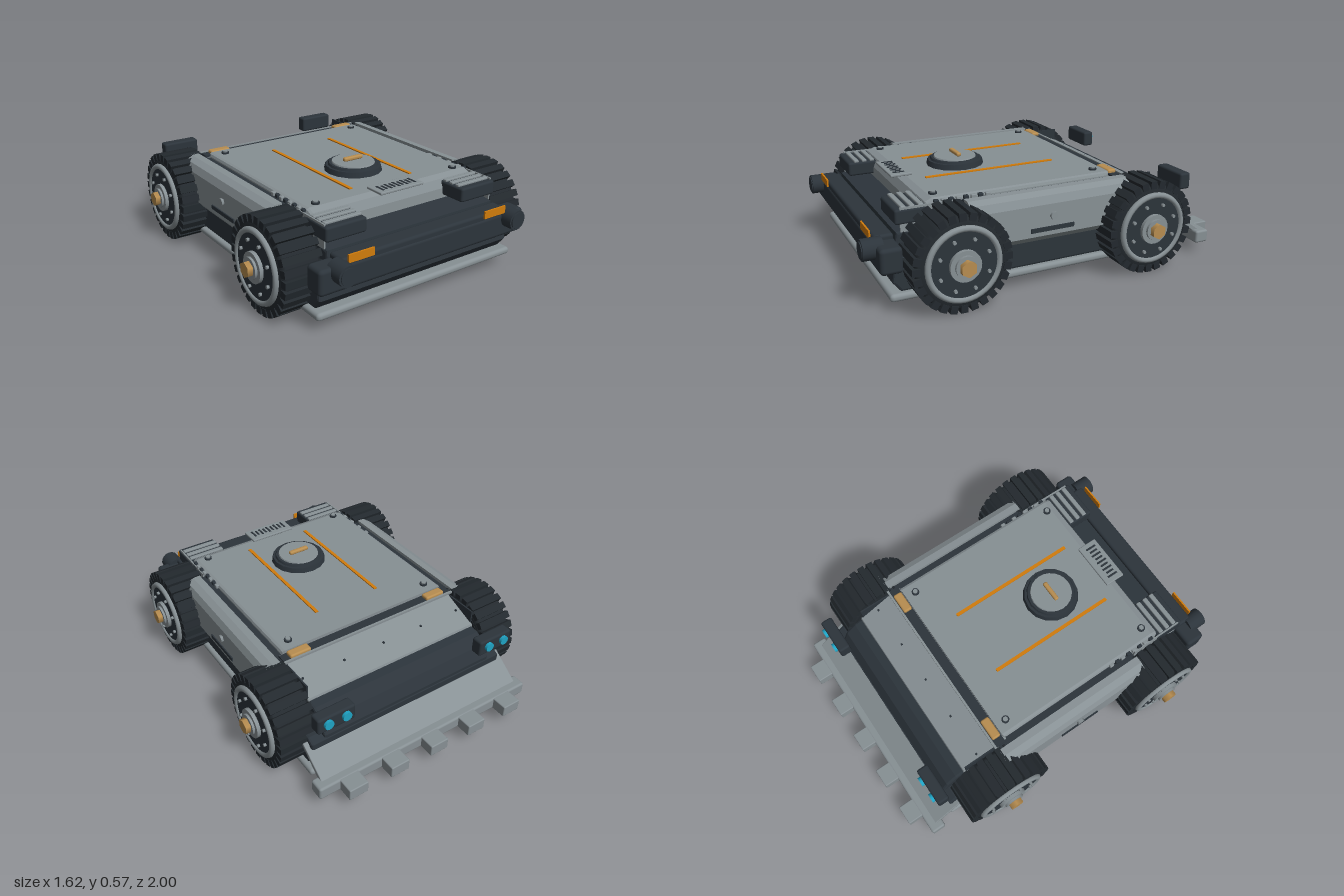
import * as THREE from 'three';
import { RoundedBoxGeometry } from 'three/addons/geometries/RoundedBoxGeometry.js';

const paint = (name, color) => Object.assign(new THREE.MeshStandardMaterial({ color }), { name });

export function createModel() {
  const grey = paint('grey armour', 0x879094);
  const dark = paint('dark armour', 0x2c343b);
  const rubber = paint('tyre rubber', 0x23292e);
  const gold = paint('brass', 0xb78d50);
  const orange = paint('orange marking', 0xd17c0c);
  const cyan = paint('cyan lamp', 0x1fa3c4);
  const root = new THREE.Group();
  root.name = 'rover';

  const add = (name, geo, mat, x = 0, y = 0, z = 0, parent = root) => {
    const m = new THREE.Mesh(geo, mat);
    m.name = name;
    m.position.set(x, y, z);
    parent.add(m);
    return m;
  };
  const box = (name, mat, w, h, d, x, y, z, r = 0, parent = root) =>
    add(name, r ? new RoundedBoxGeometry(w, h, d, 2, r) : new THREE.BoxGeometry(w, h, d), mat, x, y, z, parent);
  const outline = pts => new THREE.Shape(pts.map(p => new THREE.Vector2(...p)));
  // Side profile of [z, y] points, swept across the width
  const across = (pts, width, bevel = 0.012) => new THREE.ExtrudeGeometry(outline(pts), {
    depth: width - 2 * bevel, bevelEnabled: bevel > 0, bevelSize: bevel, bevelOffset: -bevel,
    bevelThickness: bevel, bevelSegments: 2,
  }).translate(0, 0, -width / 2 + bevel).rotateY(-Math.PI / 2);
  // Front profile of [x, y] points, swept along the length from z0 to z1
  const along = (pts, z0, z1) => new THREE.ExtrudeGeometry(outline(pts),
    { depth: z1 - z0, bevelEnabled: false }).translate(0, 0, z0);
  // Disc facing +x
  const disc = (r, d, n) => new THREE.CylinderGeometry(r, r, d, n).rotateZ(-Math.PI / 2);

  // Hull
  box('basePlate', grey, 1.24, 0.04, 1.67, 0, 0.08, 0.055, 0.018);
  add('lowerHull', across([[0.86, 0.21], [0.87, 0.15], [0.83, 0.1], [-0.72, 0.1], [-0.76, 0.14],
    [-0.76, 0.25], [-0.72, 0.27], [0.83, 0.27]], 1.2), dark);
  add('upperHull', across([[0.84, 0.22], [0.82, 0.365], [0.68, 0.39], [-0.6, 0.385], [-0.66, 0.375],
    [-0.72, 0.335], [-0.755, 0.27], [-0.755, 0.22]], 1.05), dark);
  add('deckBody', across([[0.69, 0.36], [0.685, 0.44], [0.665, 0.485], [0.63, 0.5], [-0.35, 0.5],
    [-0.35, 0.36]], 1.02, 0.018), grey);
  add('rearSlope', across([[-0.34, 0.36], [-0.34, 0.475], [-0.4, 0.475], [-0.61, 0.395], [-0.62, 0.36]], 1.05, 0.006), grey);
  box('hingeGap', dark, 1.06, 0.01, 0.055, 0, 0.48, -0.38);
  box('hingeRail', grey, 1.28, 0.012, 0.012, 0, 0.484, -0.414);
  for (const x of [-0.49, -0.245, 0, 0.245, 0.49])
    box('slopeRivet', dark, 0.01, 0.008, 0.01, x, 0.436, -0.51);

  // Mirrored body details
  for (const s of [-1, 1]) {
    add('sidePanel', along([[0.545, 0.24], [0.62, 0.24], [0.645, 0.27], [0.642, 0.43], [0.625, 0.47],
      [0.59, 0.488], [0.55, 0.49]].map(([x, y]) => [s * x, y]), -0.4, 0.49), grey);
    box('sideGap', dark, 0.04, 0.18, 0.88, s * 0.528, 0.385, 0.045);
    box('sideSlot', dark, 0.012, 0.022, 0.24, s * 0.645, 0.305, 0.06);
    add('sideBolt', disc(0.021, 0.016, 6), grey, s * 0.648, 0.37, 0.055);
    box('fenderPlate', grey, 0.008, 0.12, 0.3, s * 0.522, 0.425, 0.65);
    box('rearFenderPlate', dark, 0.008, 0.08, 0.2, s * 0.522, 0.43, -0.5);
    box('deckStripe', orange, 0.018, 0.006, 0.73, s * 0.192, 0.503, 0.187);
    box('hinge', gold, 0.12, 0.035, 0.05, s * 0.43, 0.485, -0.38, 0.01);
    for (const z of [-0.29, 0.605]) {
      add('deckBoltWasher', new THREE.CylinderGeometry(0.021, 0.021, 0.012, 12), dark, s * 0.438, 0.503, z);
      add('deckBolt', new THREE.CylinderGeometry(0.014, 0.014, 0.018, 6), grey, s * 0.438, 0.507, z);
    }
    for (let i = 0; i < 8; i++)
      box('sideLatch', i % 2 ? dark : grey, 0.03, 0.022, 0.026, s * 0.507, 0.484, 0.35 + i * 0.038, 0.005);

    // Front pods, lamps and indicators
    box('frontPod', dark, 0.23, 0.075, 0.17, s * 0.415, 0.44, 0.74, 0.012);
    for (let i = 0; i < 3; i++)
      box('podLouvre', grey, 0.21, 0.014, 0.026, s * 0.41, 0.481, 0.69 + i * 0.044, 0.005);
    box('indicator', orange, 0.145, 0.04, 0.009, s * 0.42, 0.365, 0.938);
    add('frontLamp', new THREE.CylinderGeometry(0.053, 0.053, 0.1, 16).rotateX(Math.PI / 2), dark, s * 0.53, 0.313, 0.945);
    add('lampFace', new THREE.CylinderGeometry(0.043, 0.043, 0.006, 16).rotateX(Math.PI / 2), dark, s * 0.53, 0.313, 0.997);

    // Rear lamp pods
    box('rearLampPod', dark, 0.21, 0.09, 0.065, s * 0.495, 0.412, -0.782, 0.012);
    for (const x of [0.445, 0.545])
      add('rearLamp', new THREE.CylinderGeometry(0.025, 0.025, 0.02, 12).rotateX(Math.PI / 2), cyan, s * x, 0.417, -0.82);
  }

  // Front bumper
  box('frontBumper', dark, 1.28, 0.13, 0.11, 0, 0.275, 0.88, 0.02);
  box('bumperCap', dark, 1.04, 0.06, 0.1, 0, 0.335, 0.88, 0.015);

  // Deck hatch
  add('hatchRing', new THREE.CylinderGeometry(0.148, 0.155, 0.03, 16), dark, 0, 0.513, 0.315);
  add('hatchRim', new THREE.CylinderGeometry(0.13, 0.135, 0.012, 16), dark, 0, 0.533, 0.315);
  add('hatchLid', new THREE.CylinderGeometry(0.112, 0.118, 0.014, 24), grey, 0, 0.539, 0.315);
  box('hatchHandle', gold, 0.12, 0.022, 0.026, 0, 0.558, 0.312, 0.009);

  // Slotted vent plate
  box('ventPlate', grey, 0.27, 0.014, 0.115, 0, 0.513, 0.66, 0.005);
  for (let i = 0; i < 9; i++)
    box('ventSlot', dark, 0.011, 0.005, i % 2 ? 0.046 : 0.06, (i - 4) * 0.025, 0.52, 0.665);

  // Rear plough
  add('ploughBlade', across([[-0.7, 0.235], [-0.72, 0.245], [-0.885, 0.125], [-0.87, 0.1]], 1.25, 0.004), grey);
  box('ploughBar', grey, 1.32, 0.07, 0.08, 0, 0.095, -0.88, 0.012);
  for (let i = -2; i <= 2; i++)
    box('ploughTooth', grey, 0.108, 0.065, 0.1, i * 0.246, 0.095, -0.95, 0.006);

  // Wheels, built facing +x
  const tyreProfile = [[0.19, -0.1], [0.218, -0.105], [0.232, -0.085], [0.232, 0.085], [0.218, 0.1], [0.185, 0.103]];
  const tyreGeo = new THREE.LatheGeometry(tyreProfile.map(p => new THREE.Vector2(...p)), 40).rotateZ(-Math.PI / 2);
  const lugGeo = new THREE.BoxGeometry(0.208, 0.04, 0.036).translate(0, 0.228, 0);
  const rivetGeo = disc(0.009, 0.014, 6);
  const hubGeo = disc(0.175, 0.18, 32);
  for (const s of [-1, 1]) for (const z of [0.575, -0.467]) {
    const wheel = new THREE.Group();
    wheel.name = 'wheel';
    wheel.position.set(s * 0.64, 0.249, z);
    if (s < 0) wheel.rotation.y = Math.PI;
    root.add(wheel);
    add('tyre', tyreGeo, rubber, 0, 0, 0, wheel);
    for (let i = 0; i < 28; i++)
      add('treadLug', lugGeo, rubber, 0, 0, 0, wheel).rotation.x = i * Math.PI / 14;
    add('innerHub', hubGeo, dark, 0, 0, 0, wheel);
    add('backPlate', disc(0.195, 0.2, 32), rubber, -0.003, 0, 0, wheel);
    add('rimRing', new THREE.TorusGeometry(0.176, 0.016, 8, 40).rotateY(Math.PI / 2), grey, 0.108, 0, 0, wheel);
    add('wheelDisc', disc(0.166, 0.02, 32), dark, 0.104, 0, 0, wheel);
    add('hubCollar', disc(0.078, 0.03, 24), grey, 0.118, 0, 0, wheel);
    add('hubCap', disc(0.055, 0.03, 24), grey, 0.13, 0, 0, wheel);
    add('axleNut', disc(0.04, 0.03, 6), gold, 0.157, 0, 0, wheel).rotation.x = Math.PI / 6;
    for (let i = 0; i < 8; i++) {
      const a = (i + 0.5) * Math.PI / 4;
      add('wheelRivet', rivetGeo, grey, 0.12, 0.13 * Math.sin(a), 0.13 * Math.cos(a), wheel);
    }
  }
  return root;
}
